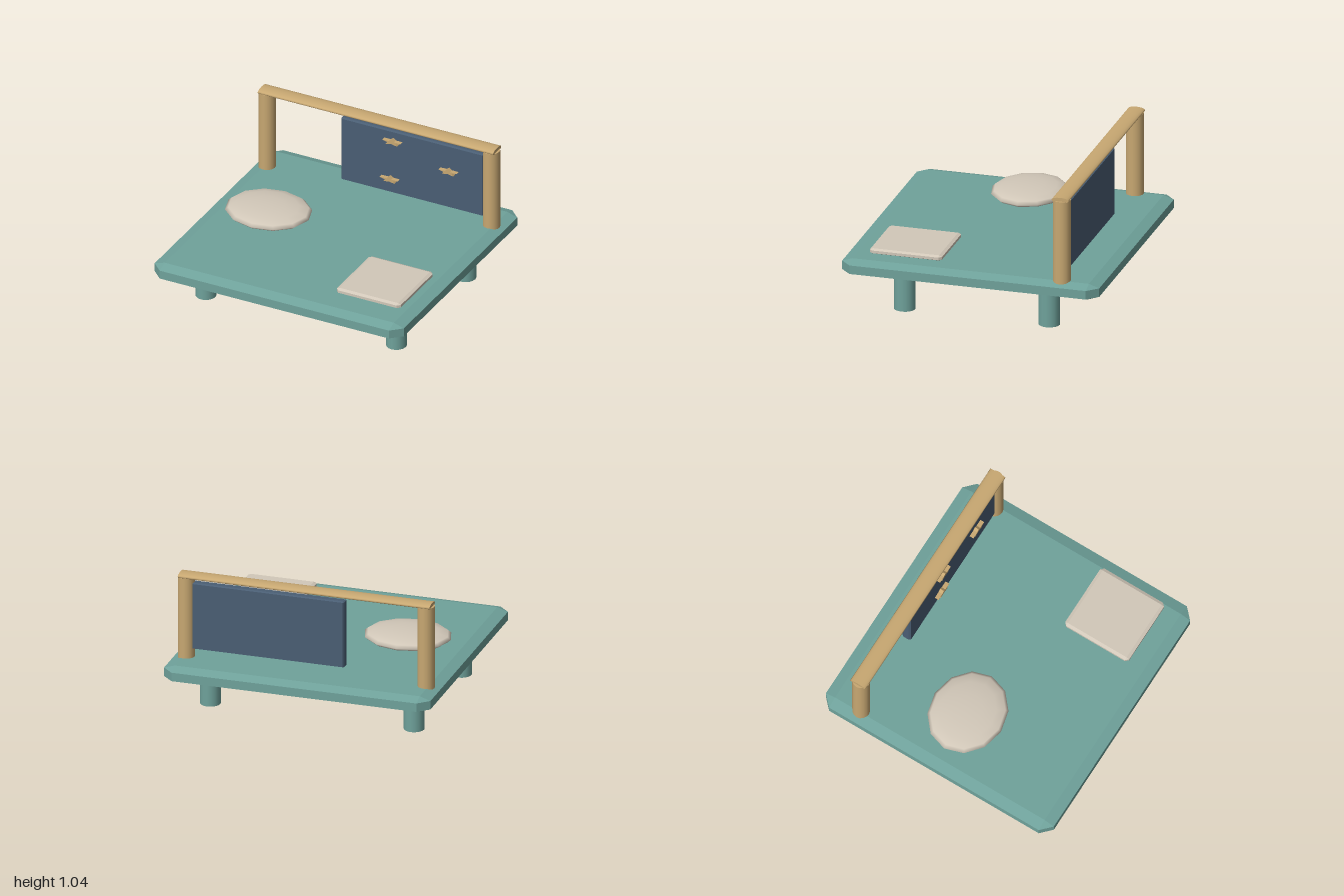
import * as THREE from 'three';
import { ConvexGeometry } from 'three/addons/geometries/ConvexGeometry.js';

const material = (name, color) => {
  const m = new THREE.MeshStandardMaterial({ color });
  m.name = name;
  return m;
};

// Box with a single flat bevel on every edge; b holds the bevel along x, y and z
function bevelBox([w, h, d], [bx, by, bz]) {
  const points = [];
  for (const sx of [-1, 1]) for (const sy of [-1, 1]) for (const sz of [-1, 1]) {
    const x = w / 2, y = h / 2, z = d / 2;
    points.push(
      new THREE.Vector3(sx * x, sy * (y - by), sz * (z - bz)),
      new THREE.Vector3(sx * (x - bx), sy * y, sz * (z - bz)),
      new THREE.Vector3(sx * (x - bx), sy * (y - by), sz * z));
  }
  return new ConvexGeometry(points);
}

// Flattened five-pointed star
function starGeometry(rx, ry, depth) {
  const shape = new THREE.Shape();
  for (let i = 0; i < 10; i++) {
    const r = i % 2 ? 0.45 : 1;
    const a = Math.PI / 2 + (i * Math.PI) / 5;
    const x = rx * r * Math.cos(a), y = ry * r * Math.sin(a);
    if (i) shape.lineTo(x, y); else shape.moveTo(x, y);
  }
  shape.closePath();
  return new THREE.ExtrudeGeometry(shape, { depth, bevelEnabled: false });
}

export function createModel() {
  const group = new THREE.Group();
  const teal = material('teal paint', 0x6fa29b);
  const wood = material('light wood', 0xc8a872);
  const navy = material('navy cloth', 0x4a5e74);
  const cream = material('cream fabric', 0xd2c8b9);

  const add = (name, geometry, mat, x, y, z) => {
    const mesh = new THREE.Mesh(geometry, mat);
    mesh.name = name;
    mesh.position.set(x, y, z);
    group.add(mesh);
    return mesh;
  };

  // Platform with chamfered corners
  add('platform', bevelBox([2, 0.117, 1.914], [0.08, 0.026, 0.077]), teal, 0, 0.3415, 0);

  // Four short legs
  const leg = new THREE.CylinderGeometry(0.075, 0.075, 0.3, 16).scale(1, 1, 1.04);
  for (const x of [-0.765, 0.765]) for (const z of [-0.538, 0.538]) add('leg', leg, teal, x, 0.15, z);

  // Back posts and flattened top rail
  const post = new THREE.CylinderGeometry(0.062, 0.062, 0.632, 16).scale(1, 1, 1.05);
  for (const x of [-0.9, 0.9]) add('post', post, wood, x, 0.699, -0.673);
  const rail = new THREE.CylinderGeometry(1, 1, 1.89, 16).rotateZ(Math.PI / 2).scale(1, 0.02, 0.064);
  add('topRail', rail, wood, 0, 1.023, -0.673);

  // Hanging panel with stars
  add('hangingPanel', bevelBox([1.147, 0.508, 0.07], [0.01, 0.006, 0.015]), navy, 0.28, 0.722, -0.673);
  const star = starGeometry(0.077, 0.025, 0.035);
  for (const [x, y] of [[0.13, 0.9], [0.58, 0.775], [0.11, 0.587]]) add('star', star, wood, x, y, -0.641);

  // Round cushion and square mat
  add('cushion', new THREE.SphereGeometry(1, 12, 8).scale(0.322, 0.053, 0.278), cream, -0.541, 0.482, 0);
  add('squareMat', bevelBox([0.514, 0.04, 0.537], [0.022, 0.01, 0.022]), cream, 0.647, 0.4585, 0.493);

  return group;
}
